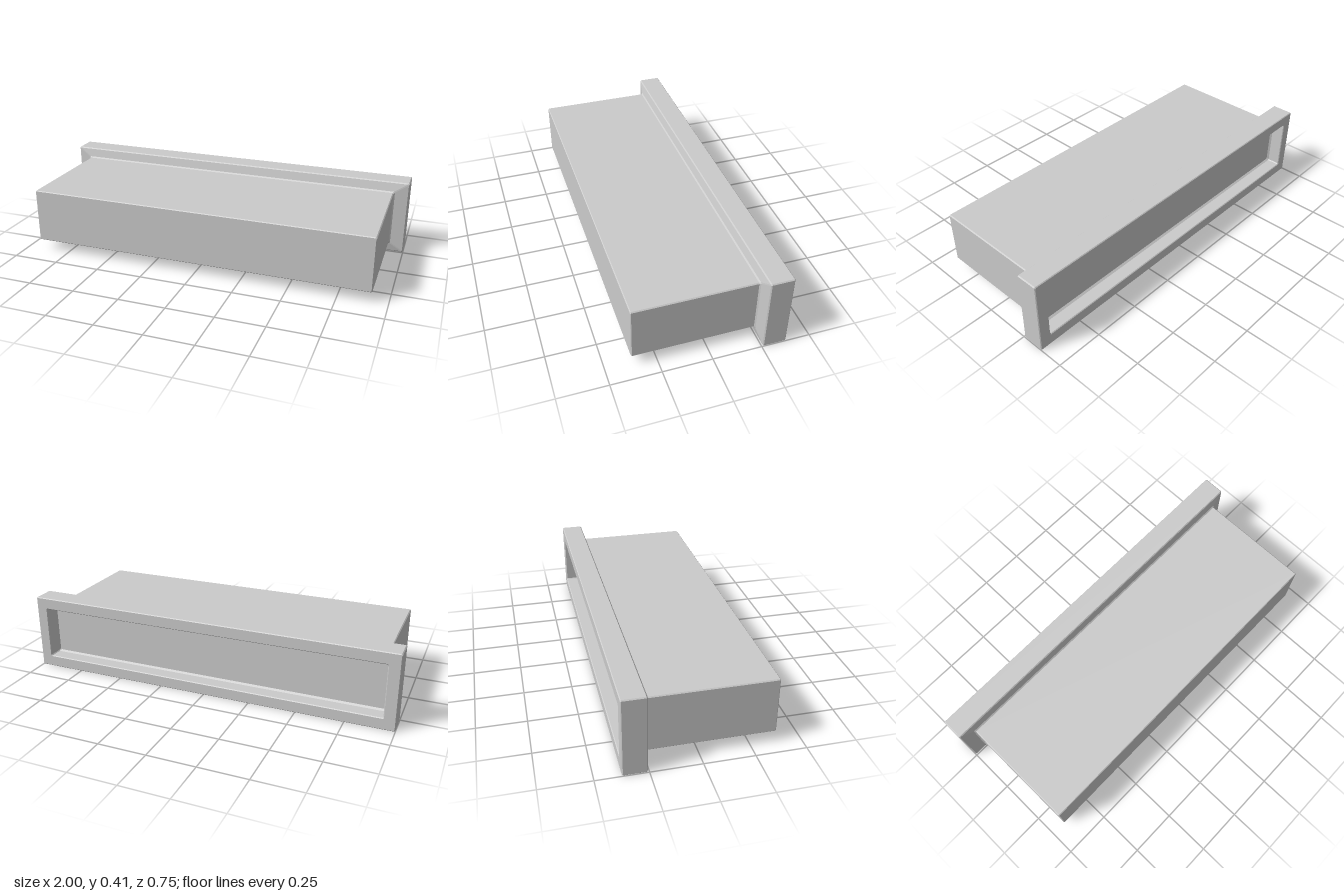
import * as THREE from 'three';

const CENTRE_Y = 0.2025;
const CHAMFER = 0.005;

// Chamfered rectangle, counter-clockwise seen from +z
function ring([halfX, halfY, z]) {
  const c = CHAMFER;
  const points = [];
  for (const [sx, sy] of [[1, 1], [-1, 1], [-1, -1], [1, -1]]) {
    const onSide = [sx * halfX, CENTRE_Y + sy * (halfY - c), z];
    const onEdge = [sx * (halfX - c), CENTRE_Y + sy * halfY, z];
    points.push(...(sx * sy > 0 ? [onSide, onEdge] : [onEdge, onSide]));
  }
  return points;
}

// Skin a run of sections from front to back, optionally closing either end
function loft(name, sections, material, { capFront = false, capBack = false } = {}) {
  const rings = sections.map(ring);
  const positions = [];
  const triangle = (...corners) => corners.forEach((p) => positions.push(...p));
  for (let s = 0; s < rings.length - 1; s++) {
    const a = rings[s], b = rings[s + 1];
    for (let i = 0; i < a.length; i++) {
      const j = (i + 1) % a.length;
      triangle(a[i], b[i], b[j]);
      triangle(a[i], b[j], a[j]);
    }
  }
  const first = rings[0], last = rings[rings.length - 1];
  for (let i = 1; i < first.length - 1; i++) {
    if (capFront) triangle(first[0], first[i], first[i + 1]);
    if (capBack) triangle(last[0], last[i + 1], last[i]);
  }
  const geometry = new THREE.BufferGeometry();
  geometry.setAttribute('position', new THREE.Float32BufferAttribute(positions, 3));
  geometry.computeVertexNormals();
  const mesh = new THREE.Mesh(geometry, material);
  mesh.name = name;
  return mesh;
}

export function createModel() {
  const group = new THREE.Group();
  group.name = 'recessedBox';
  const grey = new THREE.MeshStandardMaterial({ color: 0xcccccc, flatShading: true });

  // Sections are [half width, half height, z]
  const bodyEnd = [0.92, 0.145, -0.239];
  const opening = [0.942, 0.144, -0.375];

  // Long box with a softened front edge
  group.add(loft('body', [
    [0.916, 0.141, 0.375],
    [0.92, 0.145, 0.371],
    bodyEnd,
  ], grey, { capFront: true }));

  // Flared collar and rear rim, ending at the opening
  group.add(loft('flange', [
    bodyEnd,
    [0.927, 0.152, -0.245],
    [0.995, 0.197, -0.256],
    [1, 0.2025, -0.261],
    [1, 0.2025, -0.371],
    [0.996, 0.1985, -0.375],
    opening,
  ], grey));

  // Shallow pocket in the back with a chamfered floor
  group.add(loft('recess', [
    opening,
    [0.938, 0.14, -0.371],
    [0.938, 0.14, -0.305],
    [0.93, 0.132, -0.295],
  ], grey, { capBack: true }));

  return group;
}
